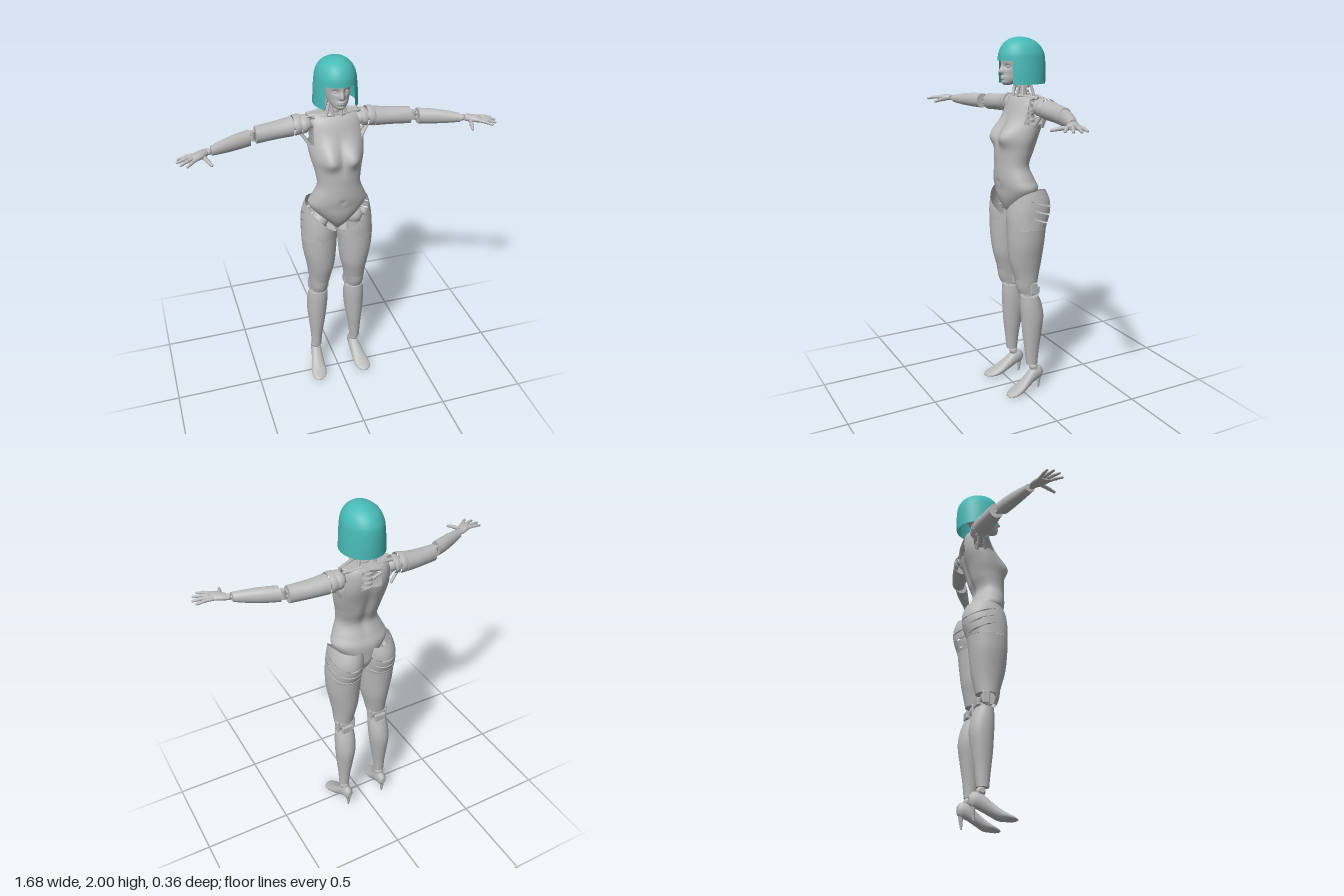
import * as THREE from 'three';
import { mergeGeometries } from 'three/addons/utils/BufferGeometryUtils.js';
import { RoundedBoxGeometry } from 'three/addons/geometries/RoundedBoxGeometry.js';

const TAU = Math.PI * 2;
const gauss = (d, s) => Math.exp(-(d * d) / (2 * s * s));
const V = p => new THREE.Vector3(...p);

// Smooth interpolation of rows [s, ...values], s ascending
function at(keys, s) {
  let i = 0;
  while (i < keys.length - 2 && s > keys[i + 1][0]) i++;
  const slope = (j, k) => {
    const a = keys[Math.max(j - 1, 0)], b = keys[Math.min(j + 1, keys.length - 1)];
    return (b[k] - a[k]) / (b[0] - a[0]);
  };
  const a = keys[i], b = keys[i + 1], h = b[0] - a[0], t = (s - a[0]) / h, t2 = t * t, t3 = t2 * t;
  return [1, 2, 3, 4].map(k => (2 * t3 - 3 * t2 + 1) * a[k] + (t3 - 2 * t2 + t) * h * slope(i, k)
    + (3 * t2 - 2 * t3) * b[k] + (t3 - t2) * h * slope(i + 1, k));
}

// Grid surface; u runs round, v along. Optional flat caps and left-out cells
function surface(fn, nu, nv, { closed = true, cap = false, skip = () => false } = {}) {
  const pos = [], idx = [], cols = closed ? nu : nu + 1;
  for (let j = 0; j <= nv; j++) for (let i = 0; i < cols; i++) pos.push(...fn(i / nu, j / nv));
  const id = (i, j) => j * cols + (closed ? i % nu : i);
  for (let j = 0; j < nv; j++) for (let i = 0; i < nu; i++) {
    if (skip((i + 0.5) / nu, (j + 0.5) / nv)) continue;
    const a = id(i, j), b = id(i + 1, j), c = id(i, j + 1), d = id(i + 1, j + 1);
    idx.push(a, c, b, b, c, d);
  }
  if (cap) for (const j of [0, nv]) {
    const base = pos.length / 3, mid = [0, 0, 0];
    for (let i = 0; i < nu; i++) {
      const p = fn(i / nu, j / nv);
      pos.push(...p);
      p.forEach((c, k) => { mid[k] += c / nu; });
    }
    pos.push(...mid);
    for (let i = 0; i < nu; i++) {
      const p = base + i, q = base + (i + 1) % nu;
      idx.push(base + nu, ...(j ? [q, p] : [p, q]));
    }
  }
  const g = new THREE.BufferGeometry();
  g.setAttribute('position', new THREE.Float32BufferAttribute(pos, 3));
  g.setIndex(idx);
  g.computeVertexNormals();
  return g;
}

// Maps (station, a, b) to x, y, z for lofts along each axis
const alongY = (s, a, b) => [a, s, b], alongX = (s, a, b) => [s, b, a], alongZ = (s, a, b) => [b, a, s];

// Elliptical loft; rows are [station, centreA, centreB, radiusA, radiusB]
function loft(keys, { map = alongY, seg = 32, steps = 20, from = 0, to = TAU, cap = true, bump, skip } = {}) {
  const s0 = keys[0][0], s1 = keys[keys.length - 1][0];
  return surface((u, v) => {
    const s = s0 + (s1 - s0) * v, [ca, cb, ra, rb] = at(keys, s), t = from + (to - from) * u;
    const p = map(s, ca + ra * Math.cos(t), cb + rb * Math.sin(t));
    if (bump) p[2] += bump(p[0], p[1], Math.sin(t));
    return p;
  }, seg, steps, { closed: to - from > 6.28, cap, skip });
}

function rod(a, b, r0, r1 = r0) {
  const p = V(a), q = V(b), d = q.clone().sub(p);
  const g = new THREE.CylinderGeometry(r1, r0, d.length(), 14);
  g.applyQuaternion(new THREE.Quaternion().setFromUnitVectors(V([0, 1, 0]), d.normalize()));
  return g.translate(...p.add(q).multiplyScalar(0.5).toArray());
}
const ball = (p, r, sx = 1, sy = 1, sz = 1) => new THREE.SphereGeometry(r, 20, 14).scale(sx, sy, sz).translate(...p);
const block = (p, w, h, d) => new RoundedBoxGeometry(w, h, d, 2, 0.006).translate(...p);

function mirrored(geo) {
  const g = geo.clone();
  if (!g.index) g.setIndex([...Array(g.attributes.position.count).keys()]);
  g.scale(-1, 1, 1);
  const ix = g.index.array;
  for (let i = 0; i < ix.length; i += 3) [ix[i], ix[i + 1]] = [ix[i + 1], ix[i]];
  return g;
}

export function createModel() {
  const model = new THREE.Group();
  const gray = new THREE.MeshStandardMaterial({ color: 0xb9b9b9, side: THREE.DoubleSide });
  gray.name = 'body gray';
  const teal = new THREE.MeshStandardMaterial({ color: 0x48bab7, side: THREE.DoubleSide });
  teal.name = 'hair teal';
  const add = (name, geo, mat = gray) => {
    const m = new THREE.Mesh(geo, mat);
    m.name = name;
    model.add(m);
  };
  const pair = (name, geo) => { add(name + 'Left', geo); add(name + 'Right', mirrored(geo)); };

  // Bob hair: one shell with the face cut out below the fringe, and a lining
  const hairKeys = [[1.757, 0, -0.052, 0.116, 0.132], [1.82, 0, -0.052, 0.113, 0.134], [1.88, 0, -0.052, 0.108, 0.132],
    [1.92, 0, -0.051, 0.102, 0.125], [1.96, 0, -0.048, 0.083, 0.101], [1.985, 0, -0.044, 0.054, 0.066],
    [1.996, 0, -0.042, 0.028, 0.034], [2, 0, -0.042, 0.0005, 0.0005]];
  add('hair', loft(hairKeys, {
    seg: 96, steps: 60, cap: false,
    skip: (u, v) => 1.757 + 0.243 * v < 1.88 && Math.sin(u * TAU) > 0.69,
  }), teal);
  add('hairLining', loft(hairKeys.slice(0, 3).map(([y, x, z, a, b]) => [y, x, z, a * 0.93, b * 0.93]),
    { seg: 48, steps: 8, from: Math.PI * 0.76, to: Math.PI * 2.24, cap: false }), teal);

  // Head with modelled face
  add('head', loft([[1.752, 0, 0.032, 0.016, 0.02], [1.765, 0, 0.016, 0.036, 0.044], [1.785, 0, -0.008, 0.052, 0.07],
    [1.81, 0, -0.028, 0.062, 0.09], [1.85, 0, -0.038, 0.07, 0.102], [1.9, 0, -0.045, 0.074, 0.11],
    [1.95, 0, -0.05, 0.06, 0.085], [1.975, 0, -0.05, 0.025, 0.04]], {
    seg: 112, steps: 90,
    bump: (x, y, f) => f < 0 ? 0 : 0.022 * gauss(x, 0.008) * gauss(y - 1.82, y > 1.82 ? 0.02 : 0.007)
      + 0.008 * gauss(x, 0.016) * (gauss(y - 1.795, 0.004) + gauss(y - 1.785, 0.004))
      - 0.011 * gauss(Math.abs(x) - 0.028, 0.012) * gauss(y - 1.848, 0.009)
      + 0.006 * gauss(x, 0.014) * gauss(y - 1.765, 0.008),
  }));
  pair('eye', ball([0.028, 1.847, 0.043], 0.011, 1.1, 0.6, 0.8));

  // Neck column, pistons and collar
  add('neckColumn', mergeGeometries([rod([0, 1.66, -0.065], [0, 1.79, -0.055], 0.022),
    ...[1.685, 1.71, 1.735, 1.76].map(y => rod([0, y, -0.062], [0, y + 0.012, -0.062], 0.034))]));
  pair('neckPistons', mergeGeometries([rod([0.055, 1.69, -0.03], [0.03, 1.78, -0.045], 0.007),
    rod([0.02, 1.69, -0.015], [0.03, 1.75, -0.025], 0.007), rod([0.05, 1.68, -0.105], [0.028, 1.78, -0.085], 0.008)]));
  pair('collarBone', mergeGeometries([rod([0.015, 1.695, -0.022], [0.14, 1.685, -0.075], 0.01),
    rod([0.04, 1.69, -0.125], [0.14, 1.68, -0.11], 0.01)]));

  // Torso shell with arm holes and an open upper back
  add('torso', loft([[1.02, 0, -0.045, 0.012, 0.04], [1.08, 0, -0.035, 0.066, 0.085], [1.14, 0, -0.025, 0.122, 0.102],
    [1.2, 0, -0.02, 0.163, 0.106], [1.25, 0, -0.005, 0.146, 0.1], [1.32, 0, 0.008, 0.119, 0.088],
    [1.4, 0, -0.007, 0.127, 0.1], [1.48, 0, -0.03, 0.146, 0.097], [1.56, 0, -0.054, 0.154, 0.092],
    [1.64, 0, -0.07, 0.149, 0.082], [1.675, 0, -0.077, 0.138, 0.07], [1.69, 0, -0.08, 0.122, 0.056]], {
    seg: 96, steps: 96,
    bump: (x, y, f) => f > 0
      ? f * 0.058 * gauss(Math.abs(x) - 0.07, 0.043) * gauss(y - 1.482, y > 1.482 ? 0.055 : 0.036)
        - 0.006 * gauss(x, 0.009) * gauss(y - 1.235, 0.01)
      : 0.014 * gauss(x, 0.02) * gauss(y - 1.4, 0.1) - 0.012 * gauss(Math.abs(x) - 0.08, 0.035) * gauss(y - 1.6, 0.06),
    skip: (u, v) => {
      const y = 1.02 + 0.67 * v, c = Math.cos(u * TAU), s = Math.sin(u * TAU);
      return (Math.abs(c) > 0.82 && y > 1.55 && y < 1.68) || (s < 0 && Math.abs(c) < 0.36 && y > 1.57 && y < 1.675);
    },
  }));
  add('spine', mergeGeometries([rod([0, 1.45, -0.09], [0, 1.68, -0.08], 0.016),
    ...[0, 1, 2, 3, 4].map(i => rod([0, 1.545 + i * 0.027, -0.1], [0, 1.56 + i * 0.027, -0.1], 0.03))]));
  pair('backStruts', mergeGeometries([rod([0.02, 1.65, -0.105], [0.13, 1.63, -0.1], 0.011),
    rod([0.02, 1.59, -0.105], [0.12, 1.63, -0.1], 0.008)]));

  // Shoulders
  pair('shoulderJoint', mergeGeometries([ball([0.15, 1.635, -0.088], 0.036), rod([0.1, 1.635, -0.085], [0.235, 1.633, -0.09], 0.022),
    rod([0.142, 1.535, -0.05], [0.185, 1.6, -0.07], 0.008), rod([0.142, 1.535, -0.1], [0.185, 1.6, -0.1], 0.008)]));
  for (const [x0, x1, r] of [[0.147, 0.178, 0.049], [0.182, 0.218, 0.054]])
    pair('shoulderBand', loft([[x0, -0.09, 1.64, r + 0.004, r - 0.003], [(x0 + x1) / 2, -0.09, 1.638, r + 0.007, r],
      [x1, -0.09, 1.636, r + 0.003, r - 0.001]], { map: alongX, steps: 6, from: -0.9, to: 4.04, cap: false }));

  // Arms
  pair('upperArm', loft([[0.222, -0.09, 1.633, 0.056, 0.052], [0.3, -0.084, 1.627, 0.051, 0.047],
    [0.42, -0.068, 1.621, 0.04, 0.046]], { map: alongX }));
  pair('elbow', mergeGeometries([rod([0.438, 1.598, -0.058], [0.438, 1.648, -0.058], 0.016),
    rod([0.415, 1.635, -0.067], [0.465, 1.635, -0.045], 0.009), rod([0.415, 1.61, -0.067], [0.465, 1.61, -0.045], 0.009)]));
  pair('forearm', loft([[0.455, -0.042, 1.622, 0.039, 0.042], [0.52, -0.018, 1.622, 0.038, 0.041],
    [0.6, 0.015, 1.621, 0.032, 0.034], [0.662, 0.042, 1.62, 0.026, 0.024]], { map: alongX }));
  pair('wrist', mergeGeometries([ball([0.675, 1.621, 0.05], 0.016), rod([0.655, 1.621, 0.04], [0.695, 1.621, 0.06], 0.009)]));

  // Hands: palm, four fingers with knuckles, thumb
  pair('palm', loft([[0.682, 0.054, 1.623, 0.024, 0.015], [0.705, 0.07, 1.624, 0.034, 0.018],
    [0.735, 0.087, 1.624, 0.037, 0.017], [0.76, 0.095, 1.621, 0.033, 0.012]], { map: alongX, steps: 12 }));
  const fingers = [[[0.752, 0.066], [0.83, 0.074]], [[0.76, 0.085], [0.837, 0.108]],
    [[0.756, 0.104], [0.824, 0.144]], [[0.742, 0.12], [0.796, 0.17]], [[0.705, 0.092], [0.68, 0.17]]];
  fingers.forEach(([[x0, z0], [x1, z1]], i) => {
    const thumb = i === 4, joint = t => [x0 + (x1 - x0) * t, (thumb ? 1.615 : 1.624) - 0.01 * t * t, z0 + (z1 - z0) * t];
    const r = thumb ? 0.011 : 0.0095, a = joint(0), b = joint(0.5), c = joint(0.97);
    pair(thumb ? 'thumb' : 'finger', mergeGeometries([rod(a, b, r, r * 0.85), rod(b, c, r * 0.9, r * 0.65),
      ball(a, r), ball(b, r), ball(c, r * 0.7)]));
  });

  // Hips: slanted bands with narrow gaps at the side and back, over a joint
  const hipKeys = [[0.985, 0.104, -0.028, 0.1, 0.112], [1.05, 0.102, -0.038, 0.099, 0.125], [1.1, 0.1, -0.043, 0.098, 0.127],
    [1.15, 0.096, -0.041, 0.093, 0.12], [1.22, 0.088, -0.025, 0.08, 0.103]];
  const hipTop = t => {
    const x = 0.1 + 0.1 * Math.cos(t), w = THREE.MathUtils.smoothstep(Math.sin(t), -0.4, 0.3);
    return w * (1.012 + 0.9 * x) + (1 - w) * (1.165 + 0.17 * x);
  };
  const levels = [0.9, 1.045, 1.09, 1.135, 1.4];
  for (let k = 0; k < 4; k++) pair('hipBand', surface((u, v) => {
    const t = u * TAU, s = Math.sin(t), gap = 0.004 * THREE.MathUtils.smoothstep(-s, -0.4, 0.2);
    const edge = (n, d) => THREE.MathUtils.clamp(levels[n] + 0.045 * s + d, 0.989, hipTop(t));
    const y = THREE.MathUtils.lerp(edge(k, gap), edge(k + 1, -gap), v), [cx, cz, rx, rz] = at(hipKeys, y);
    return [cx + rx * Math.cos(t), y, cz + rz * s];
  }, 64, 10));
  pair('hipJoint', mergeGeometries([ball([0.1, 1.08, -0.03], 0.05), rod([0.03, 1.09, -0.03], [0.16, 1.09, -0.03], 0.025),
    rod([0.1, 0.98, -0.03], [0.1, 1.08, -0.03], 0.04)]));

  // Legs
  pair('thigh', loft([[0.665, 0.106, -0.03, 0.058, 0.062], [0.72, 0.103, -0.028, 0.065, 0.076], [0.8, 0.1, -0.025, 0.08, 0.095],
    [0.9, 0.104, -0.025, 0.094, 0.106], [0.988, 0.104, -0.028, 0.1, 0.112]], { steps: 28 }));
  pair('kneeJoint', mergeGeometries([rod([0.065, 0.635, -0.035], [0.15, 0.635, -0.035], 0.038),
    rod([0.11, 0.57, -0.045], [0.107, 0.68, -0.035], 0.03)]));
  pair('kneeCap', loft([[0.605, 0.108, -0.03, 0.046, 0.048], [0.64, 0.108, -0.03, 0.052, 0.062],
    [0.69, 0.106, -0.03, 0.06, 0.071]], { steps: 10, from: 0.5, to: 2.64, cap: false }));
  for (const x of [0.056, 0.159]) pair('kneeSide', block([x, 0.635, -0.05], 0.014, 0.07, 0.04));
  pair('kneeBack', block([0.108, 0.615, -0.085], 0.07, 0.045, 0.02));
  pair('calf', loft([[0.165, 0.123, -0.058, 0.03, 0.033], [0.25, 0.121, -0.058, 0.036, 0.042], [0.35, 0.118, -0.06, 0.048, 0.056],
    [0.45, 0.115, -0.063, 0.059, 0.066], [0.53, 0.112, -0.055, 0.06, 0.062], [0.585, 0.11, -0.046, 0.055, 0.05]], { steps: 28 }));
  pair('ankle', mergeGeometries([ball([0.123, 0.145, -0.068], 0.025), rod([0.092, 0.145, -0.068], [0.154, 0.145, -0.068], 0.013),
    rod([0.123, 0.11, -0.075], [0.123, 0.18, -0.06], 0.018)]));

  // High-heeled feet
  pair('foot', loft([[-0.128, 0.1, 0.12, 0.02, 0.012], [-0.115, 0.1, 0.12, 0.037, 0.024], [-0.09, 0.1, 0.121, 0.043, 0.03],
    [-0.06, 0.088, 0.123, 0.045, 0.033], [-0.02, 0.06, 0.129, 0.038, 0.037], [0.02, 0.034, 0.135, 0.031, 0.043],
    [0.06, 0.02, 0.14, 0.02, 0.046], [0.095, 0.012, 0.145, 0.012, 0.034], [0.113, 0.009, 0.147, 0.005, 0.014]],
  { map: alongZ, steps: 36 }));
  pair('heel', rod([0.12, 0, -0.104], [0.12, 0.085, -0.108], 0.005, 0.016));
  return model;
}
